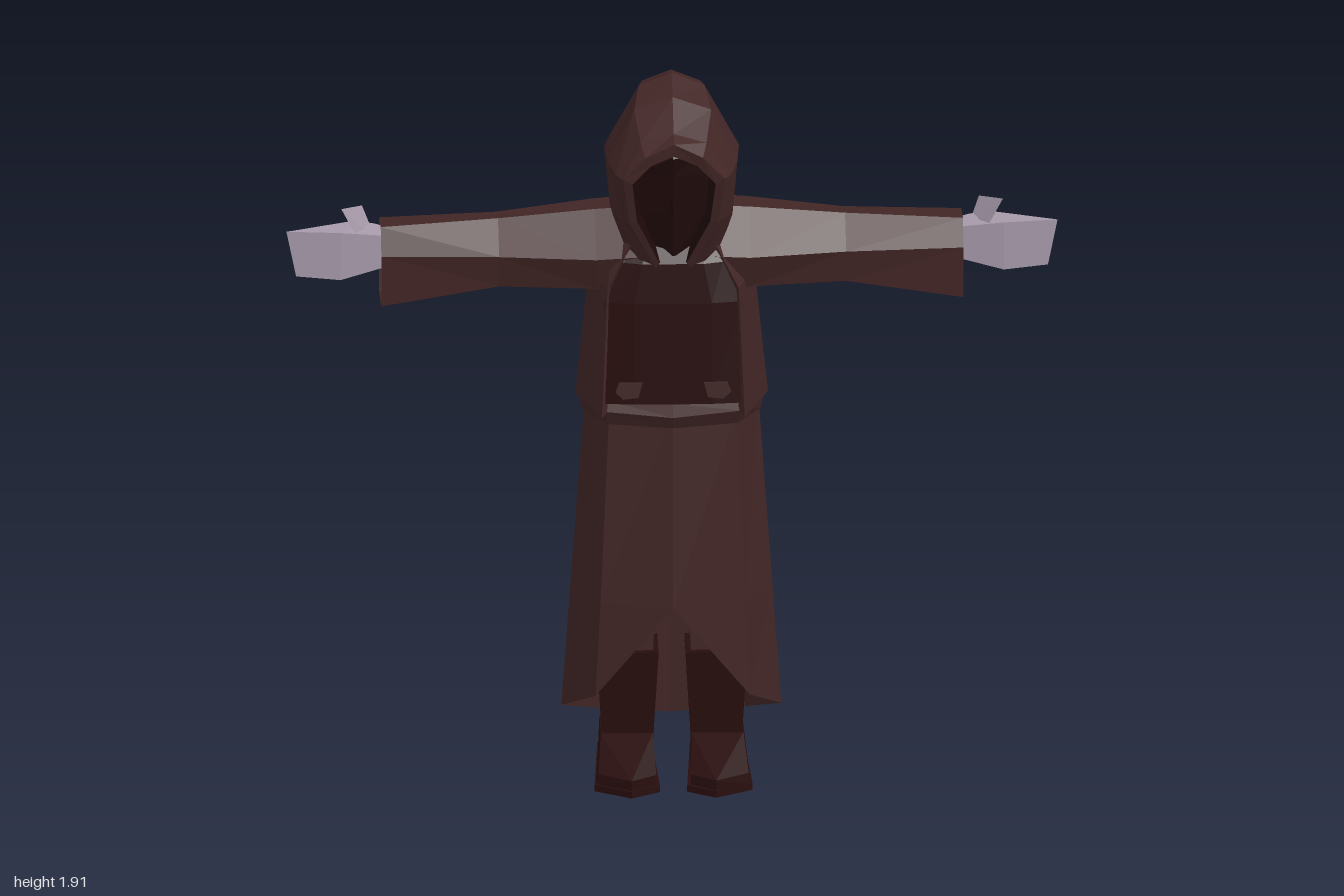
import * as THREE from 'three';
import { ConvexGeometry } from 'three/addons/geometries/ConvexGeometry.js';

const mat = (name, color) => {
  const m = new THREE.MeshStandardMaterial({ color, side: THREE.DoubleSide });
  m.name = name;
  return m;
};

// Flat-shaded skin stretched over rows that share one point count.
function skin(rows) {
  const pos = [];
  for (let i = 0; i + 1 < rows.length; i++) {
    for (let j = 0; j + 1 < rows[i].length; j++) {
      const a = rows[i][j], b = rows[i][j + 1], c = rows[i + 1][j + 1], d = rows[i + 1][j];
      pos.push(...a, ...d, ...b, ...b, ...d, ...c);
    }
  }
  const g = new THREE.BufferGeometry();
  g.setAttribute('position', new THREE.Float32BufferAttribute(pos, 3));
  g.computeVertexNormals();
  return g;
}

// Half outline ending on the centre line, completed by its mirror image.
const both = half => [...half, ...half.slice(0, -1).reverse().map(([x, y, z]) => [-x, y, z])];
const ring = pts => [...pts, pts[0]];
const hull = pts => new ConvexGeometry(pts.map(p => new THREE.Vector3(...p)));

export function createModel() {
  const root = new THREE.Group();
  root.name = 'hoodedFigure';
  const robe = mat('robe brown', 0x432626);
  const dark = mat('dark red leather', 0x280d0d);
  const shade = mat('hood shadow', 0x1e0909);
  const pale = mat('pale skin', 0xa598a8);
  const tan = mat('pocket brown', 0x432a28);

  const add = (name, geo, m, parent = root) => {
    const mesh = new THREE.Mesh(geo, m);
    mesh.name = name;
    parent.add(mesh);
    return mesh;
  };

  // Long skirt with a notch at the front and a lower back hem
  add('skirt', skin([
    [[0, 1.02, 0.105], [0.165, 1.02, 0.09], [0.225, 1.02, -0.04], [0.15, 1.02, -0.155], [0, 1.02, -0.165]],
    [[0, 0.49, 0.13], [0.187, 0.49, 0.083], [0.262, 0.49, -0.045], [0.177, 0.49, -0.178], [0, 0.49, -0.192]],
    [[0, 0.49, 0.13], [0.2, 0.23, 0.075], [0.285, 0.16, -0.05], [0.195, 0.1, -0.19], [0, 0.08, -0.21]],
  ].map(both)), robe);

  // Belt
  add('belt', skin([
    [[0, 0.98, 0.11], [0.17, 0.99, 0.1], [0.232, 0.98, -0.04], [0.155, 0.98, -0.163], [0, 0.98, -0.172]],
    [[0, 1.015, 0.128], [0.178, 1.03, 0.118], [0.24, 1.02, -0.04], [0.16, 1.02, -0.17], [0, 1.02, -0.18]],
    [[0, 1.05, 0.118], [0.175, 1.06, 0.108], [0.232, 1.06, -0.04], [0.155, 1.06, -0.163], [0, 1.06, -0.172]],
  ].map(both)), robe);

  // Jacket, open at the front and flared at the hem
  add('jacket', skin([
    [[0.17, 1.03, 0.115], [0.185, 1.02, 0.14], [0.25, 1.03, -0.03], [0.18, 1.05, -0.185], [0, 1.06, -0.22]],
    [[0.16, 1.37, 0.1], [0.17, 1.37, 0.122], [0.215, 1.37, -0.03], [0.17, 1.38, -0.145], [0, 1.38, -0.165]],
    [[0.09, 1.5, 0.07], [0.1, 1.5, 0.09], [0.14, 1.54, -0.03], [0.11, 1.52, -0.13], [0, 1.52, -0.14]],
  ].map(both)), robe);

  // Leather chest piece
  add('chest', skin([
    [[0.178, 1.055, 0.125], [0.1, 1.055, 0.133], [0, 1.055, 0.135]],
    [[0.178, 1.33, 0.112], [0.1, 1.33, 0.125], [0, 1.33, 0.125]],
    [[0.13, 1.435, 0.1], [0.08, 1.435, 0.115], [0, 1.435, 0.115]],
    [[0.08, 1.5, 0.06], [0.05, 1.5, 0.06], [0, 1.5, 0.06]],
  ].map(both)), dark);

  // Hood shell: arches from the face opening to the back of the head
  const rim = [[0.045, 1.425, 0.115], [0.115, 1.57, 0.17], [0.132, 1.705, 0.21], [0.075, 1.765, 0.215], [0, 1.8, 0.21]];
  const lip = [[0.035, 1.44, 0.12], [0.095, 1.575, 0.172], [0.108, 1.69, 0.207], [0.06, 1.74, 0.207], [0, 1.765, 0.205]];
  const deep = [[0.03, 1.44, 0.08], [0.085, 1.57, 0.09], [0.095, 1.68, 0.1], [0.055, 1.73, 0.11], [0, 1.75, 0.11]];
  add('hood', skin([
    rim,
    [[0.08, 1.425, 0.1], [0.135, 1.57, 0.135], [0.15, 1.7, 0.165], [0.085, 1.79, 0.17], [0, 1.815, 0.17]],
    [[0.11, 1.43, 0.06], [0.155, 1.56, 0.08], [0.168, 1.71, 0.08], [0.1, 1.845, 0.07], [0, 1.88, 0.07]],
    [[0.125, 1.42, -0.03], [0.16, 1.55, -0.03], [0.175, 1.71, -0.03], [0.085, 1.88, -0.02], [0, 1.914, -0.02]],
    [[0.12, 1.4, -0.11], [0.145, 1.55, -0.13], [0.15, 1.72, -0.125], [0.075, 1.86, -0.11], [0, 1.89, -0.11]],
    [[0.09, 1.38, -0.15], [0.085, 1.6, -0.185], [0.09, 1.72, -0.188], [0.06, 1.79, -0.165], [0, 1.8, -0.165]],
    [[0, 1.38, -0.155], [0, 1.6, -0.187], [0, 1.72, -0.192], [0, 1.77, -0.18], [0, 1.8, -0.165]],
  ].map(both)), robe);
  add('hoodRim', skin([rim, lip].map(both)), robe);
  add('hoodLining', skin([lip, deep].map(both)), shade);

  // Shadowed face with a nose ridge
  add('face', skin([deep, deep.map(([, y, z]) => [0, y, z + 0.02])].map(both)), shade);
  add('nose', hull([[0, 1.64, 0.11], [0.018, 1.57, 0.1], [-0.018, 1.57, 0.1], [0, 1.575, 0.145]]), shade);

  // Arms sit at a very slight turn
  const arms = new THREE.Group();
  arms.name = 'arms';
  arms.rotation.y = 0.018;
  root.add(arms);

  for (const s of [1, -1]) {
    const side = s > 0 ? 'left' : 'right';
    const flip = pts => pts.map(([x, y, z]) => [s * x, y, z]);
    const section = (x, yz) => ring(flip(yz.map(([y, z]) => [x, y, z])));

    // Sleeve, widening into an open cuff
    add(side + 'Sleeve', skin([
      section(0.08, [[1.54, -0.13], [1.555, 0], [1.45, 0.1], [1.36, 0.07], [1.36, -0.13], [1.45, -0.16]]),
      section(0.2, [[1.53, -0.13], [1.545, -0.01], [1.44, 0.09], [1.35, 0.06], [1.35, -0.13], [1.44, -0.165]]),
      section(0.45, [[1.505, -0.11], [1.52, -0.02], [1.44, 0.055], [1.352, 0.035], [1.352, -0.11], [1.43, -0.135]]),
      section(0.755, [[1.5, -0.095], [1.508, 0], [1.44, 0.038], [1.3, 0.03], [1.3, -0.095], [1.42, -0.11]]),
    ]), robe, arms);
    add(side + 'SleeveLining', skin([
      section(0.7, [[1.5, -0.095], [1.505, 0], [1.44, 0.035], [1.31, 0.025], [1.31, -0.095], [1.42, -0.11]]),
      section(0.7, Array(6).fill([1.41, -0.04])),
    ]), shade, arms);

    // Mitten hand with a raised thumb
    add(side + 'Hand', hull(flip([
      [0.7, 1.41, -0.05], [0.7, 1.41, 0.0], [0.7, 1.48, -0.05], [0.7, 1.48, 0.0],
      [0.77, 1.385, -0.05], [0.77, 1.5, -0.05], [0.86, 1.365, -0.02], [0.86, 1.37, 0.018],
      [0.82, 1.505, -0.06], [0.86, 1.5, 0.018], [1.0, 1.503, 0.01], [0.975, 1.38, 0.012],
    ])), pale, arms);
    add(side + 'Thumb', hull(flip([
      [0.765, 1.46, -0.03], [0.8, 1.54, -0.078], [0.858, 1.565, 0.015], [0.82, 1.49, 0.01], [0.82, 1.49, -0.03],
    ])), pale, arms);

    // Trouser leg, boot shaft and pointed foot
    const tube = (y, x0, x1, z0, z1) => ring(flip([[x0, y, z0], [x1, y, z0], [x1, y, z1], [x0, y, z1]]));
    add(side + 'Trouser', skin([
      tube(0.3, 0.05, 0.18, -0.09, 0.02), tube(0.9, 0.03, 0.19, -0.1, 0.04),
    ]), robe);
    add(side + 'BootShaft', skin([
      tube(0.08, 0.05, 0.18, -0.105, 0.03), tube(0.335, 0.035, 0.195, -0.105, 0.04),
      tube(0.335, 0.1, 0.13, -0.04, -0.02),
    ]), dark);
    add(side + 'Foot', hull(flip([
      [0.055, 0.035, -0.108], [0.185, 0.035, -0.108], [0.05, 0.11, -0.1], [0.185, 0.11, -0.1],
      [0.05, 0.11, 0.03], [0.185, 0.11, 0.03], [0.045, 0.045, 0.17], [0.195, 0.045, 0.16], [0.11, 0.045, 0.215],
      [0.045, 0.015, 0.17], [0.2, 0.015, 0.16], [0.11, 0.015, 0.215],
    ])), dark);
    add(side + 'Sole', hull(flip([0, 0.035].flatMap(y => [
      [0.05, y, -0.11], [0.19, y, -0.11], [0.205, y * 0.5, 0.165], [0.11, y * 0.5, 0.222], [0.035, y * 0.5, 0.175],
    ]))), dark);

    // Small pocket flap on the chest piece
    add(side + 'Pocket', hull(flip([0.128, 0.137].flatMap(z => [
      [0.08, 1.115, z], [0.14, 1.115, z], [0.15, 1.09, z], [0.13, 1.07, z], [0.09, 1.075, z],
    ]))), tan);
  }

  return root;
}
